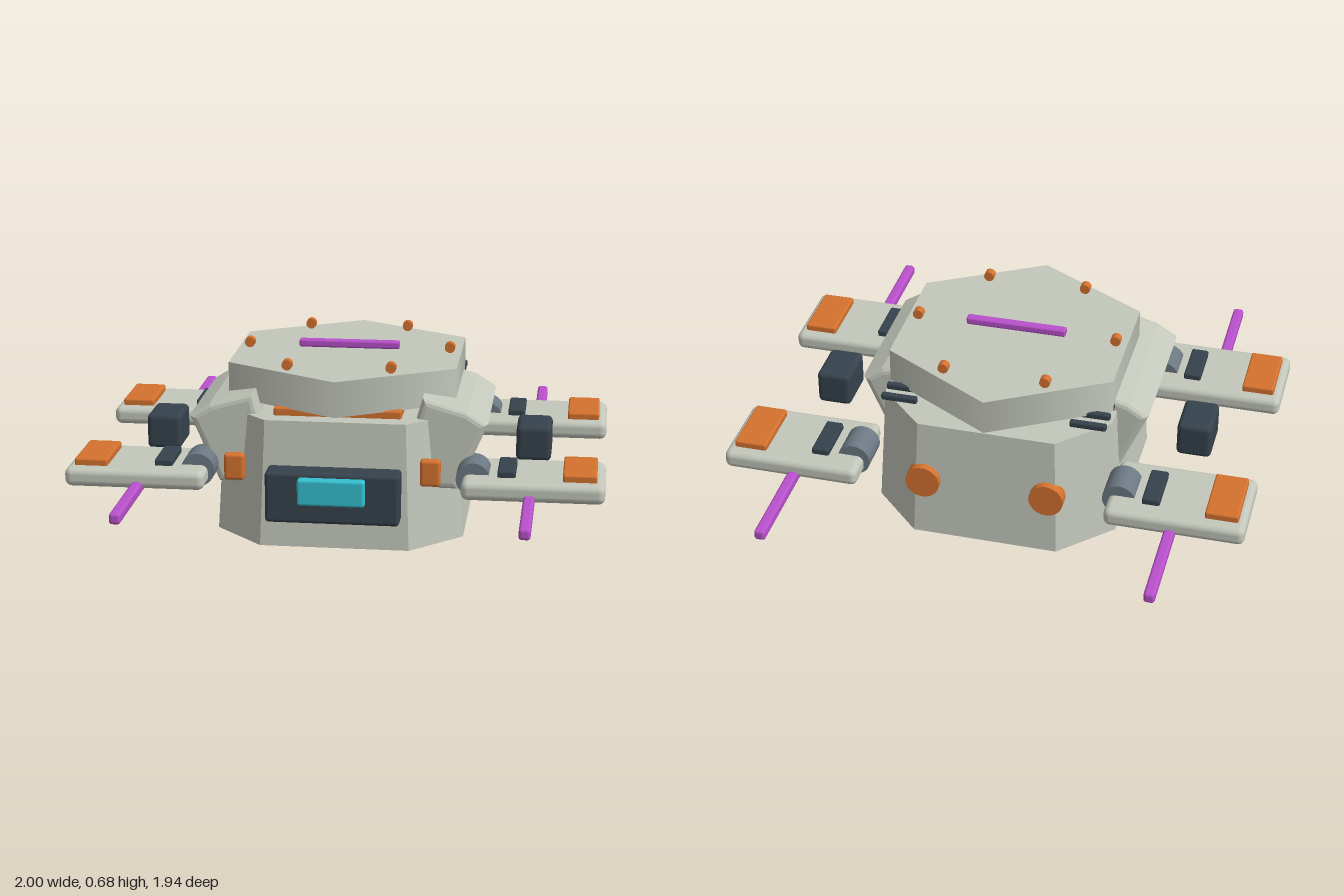
import * as THREE from 'three';
import { RoundedBoxGeometry } from 'three/addons/geometries/RoundedBoxGeometry.js';

const mat = (name, color) => {
  const m = new THREE.MeshStandardMaterial({ color });
  m.name = name;
  return m;
};

export function createModel() {
  const model = new THREE.Group();
  model.name = 'hoverCraft';
  const grey = mat('paleGrey', 0xc3c7bb);
  const orange = mat('orange', 0xd5722f);
  const dark = mat('darkSlate', 0x36424c);
  const steel = mat('steelBlue', 0x6c7883);
  const magenta = mat('magenta', 0xb950cb);
  const cyan = mat('cyan', 0x35c0d0);

  const add = (name, geometry, material, x = 0, y = 0, z = 0) => {
    const mesh = new THREE.Mesh(geometry, material);
    mesh.name = name;
    mesh.position.set(x, y, z);
    model.add(mesh);
    return mesh;
  };
  // Rounded box given by its min and max on each axis
  const block = (name, material, [x0, x1], [y0, y1], [z0, z1], r) =>
    add(name, new RoundedBoxGeometry(x1 - x0, y1 - y0, z1 - z0, 3, r), material,
      (x0 + x1) / 2, (y0 + y1) / 2, (z0 + z1) / 2);
  // Cylinder lying along z
  const drum = (name, material, r, length, x, y, z, sides = 24) =>
    add(name, new THREE.CylinderGeometry(r, r, length, sides).rotateX(Math.PI / 2), material, x, y, z);
  const outline = pts => new THREE.Shape(pts.map(([x, y]) => new THREE.Vector2(x, y)));

  // Eight-sided hull, tapered towards the top
  const hull = new THREE.ExtrudeGeometry(outline([
    [0.28, 0.5], [-0.28, 0.5], [-0.47, 0.31], [-0.47, -0.31],
    [-0.28, -0.5], [0.28, -0.5], [0.47, -0.31], [0.47, 0.31],
  ]), { depth: 0.48, bevelEnabled: false }).rotateX(-Math.PI / 2);
  const p = hull.attributes.position;
  for (let i = 0; i < p.count; i++) {
    const s = 1 - 0.06 * p.getY(i) / 0.48;
    p.setX(i, p.getX(i) * s);
    p.setZ(i, p.getZ(i) * s);
  }
  hull.computeVertexNormals();
  add('hull', hull, grey);

  // Six-sided lid with lights and a centre bar
  add('lid', new THREE.CylinderGeometry(0.5, 0.5, 0.136, 6), grey, 0, 0.573, 0);
  for (let i = 0; i < 6; i++) {
    const a = i * Math.PI / 3;
    drum('lidLight', orange, 0.02, 0.032, 0.39 * Math.cos(a), 0.662, 0.39 * Math.sin(a), 16);
  }
  block('lidBar', magenta, [-0.195, 0.195], [0.65, 0.68], [-0.018, 0.018], 0.008);

  // Front trim, console and screen
  block('frontTrim', orange, [-0.24, 0.24], [0.47, 0.51], [0.2, 0.4], 0.008);
  block('frontConsole', dark, [-0.25, 0.25], [0.115, 0.31], [0.46, 0.573], 0.015);
  block('frontScreen', cyan, [-0.125, 0.125], [0.195, 0.295], [0.54, 0.607], 0.01);

  // Side pod cross-section, for the +x side
  const b = 0.025;
  const pod = [[0.335, 0.53], [0.475, 0.49], [0.53, 0.455], [0.435, 0.235], [0.39, 0.235], [0.27, 0.3]];

  for (const s of [-1, 1]) {
    const span = (a, c) => (s > 0 ? [a, c] : [-c, -a]);

    const points = pod.map(([x, y]) => [s * x, y]);
    add('sidePod', new THREE.ExtrudeGeometry(outline(points), {
      depth: 0.6 - 2 * b, bevelThickness: b, bevelSize: b, bevelSegments: 3,
    }), grey, 0, 0, -0.205 + b);

    block('sideBox', dark, span(0.655, 0.79), [0.24, 0.378], [-0.098, 0.092], 0.02);
    block('frontMarker', orange, span(0.325, 0.4), [0.275, 0.375], [0.533, 0.575], 0.012);
    drum('rearThruster', orange, 0.066, 0.05, s * 0.24, 0.24, -0.485);

    // Small rails under the back of the lid
    for (const z of [-0.22, -0.288, -0.36])
      block('rearRail', dark, span(0.295, 0.435), [0.494, 0.52], [z - 0.013, z + 0.013], 0.008);

    // Front and back landing plates with hinge, pads and rod
    for (const f of [-1, 1]) {
      const depth = (a, c) => (f > 0 ? [a, c] : [-c, -a]);
      block('plate', grey, span(0.475, 1), [0.232, 0.304], depth(0.256, 0.594), 0.026);
      block('platePad', orange, span(0.845, 0.97), [0.29, 0.33], depth(0.298, 0.546), 0.008);
      block('plateGrip', dark, span(0.605, 0.672), [0.29, 0.328], depth(0.328, 0.518), 0.008);
      drum('hinge', steel, 0.063, 0.135, s * 0.514, 0.284, f * 0.425);
      block('rod', magenta, span(0.704, 0.746), [0.219, 0.261], depth(0.36, 0.97), 0.012);
    }
  }
  return model;
}
